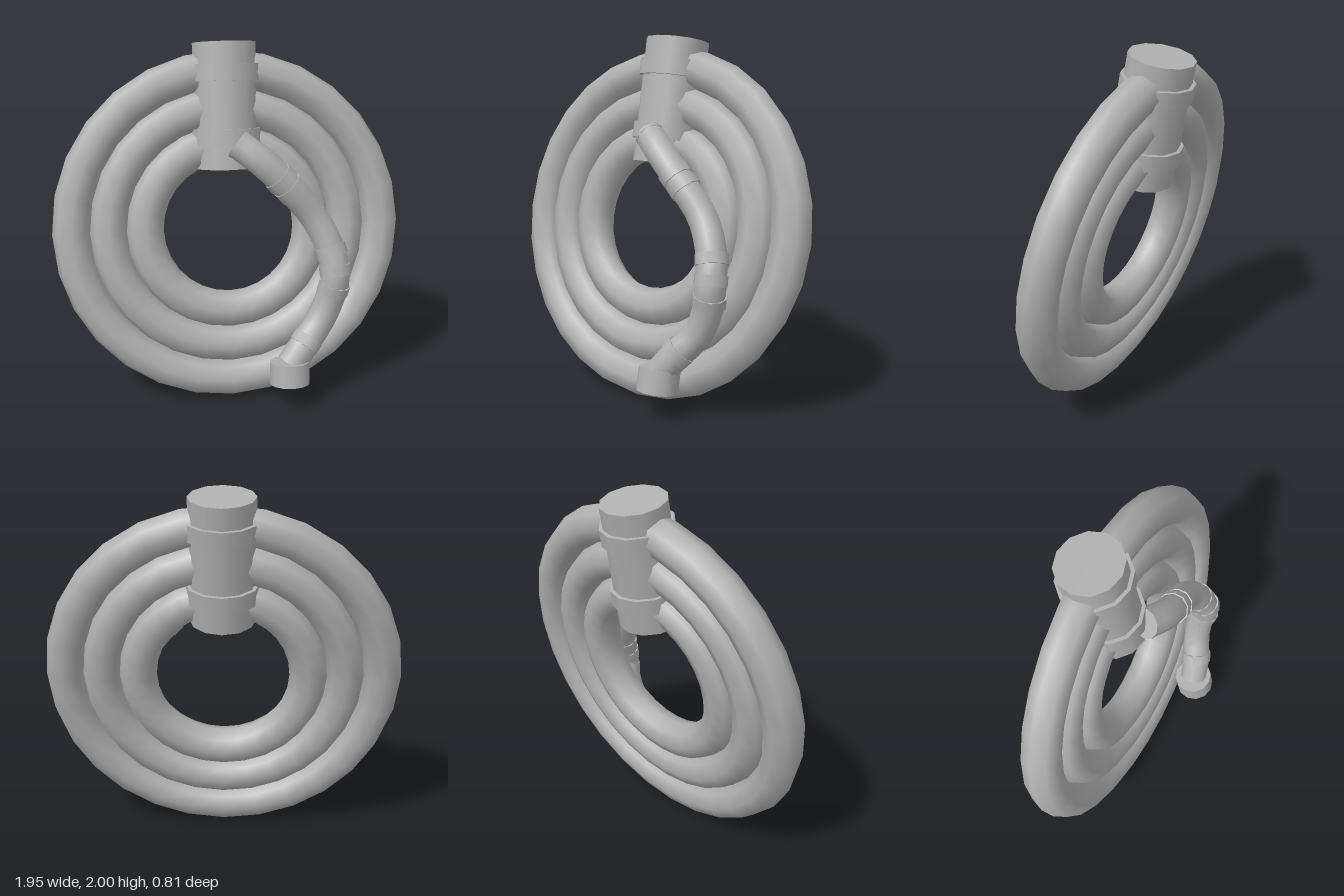
import * as THREE from 'three';

export function createModel() {
  const model = new THREE.Group();
  const grey = new THREE.MeshStandardMaterial({ color: 0xb0b0b0 });
  grey.name = 'plain grey';

  const add = (parent, name, geometry) => {
    const mesh = new THREE.Mesh(geometry, grey);
    mesh.name = name;
    parent.add(mesh);
    return mesh;
  };

  // Coil and binding lean back together
  const lean = THREE.MathUtils.degToRad(-10);
  const coil = new THREE.Group();
  coil.name = 'coil';
  coil.position.set(0, 0.966, -0.05);
  coil.rotation.x = lean;
  model.add(coil);

  // Three concentric loops
  [0.47, 0.67, 0.872].forEach((radius, i) =>
    add(coil, `loop${i + 1}`, new THREE.TorusGeometry(radius, 0.105, 8, 28)));

  // Binding cylinder across the loops, with two bands
  add(coil, 'binding', new THREE.CylinderGeometry(0.176, 0.176, 0.685, 12)).position.y = 0.676;
  [0.856, 0.506].forEach((y, i) =>
    add(coil, `bindingBand${i + 1}`, new THREE.CylinderGeometry(0.196, 0.196, 0.09, 12)).position.y = y);

  // Loose end hanging across the front
  const tail = new THREE.Group();
  tail.name = 'tail';
  model.add(tail);
  const path = new THREE.CatmullRomCurve3([
    [0.035, 1.465, 0.05], [0.15, 1.38, 0.1], [0.3, 1.235, 0.115],
    [0.435, 1.075, 0.11], [0.525, 0.91, 0.15], [0.56, 0.735, 0.2],
    [0.535, 0.6, 0.19], [0.475, 0.465, 0.2], [0.385, 0.36, 0.25],
    [0.3, 0.25, 0.28],
  ].map((p) => new THREE.Vector3(...p)));
  add(tail, 'tailRope', new THREE.TubeGeometry(path, 20, 0.082, 10));

  const up = new THREE.Vector3(0, 1, 0);
  // Cylinder centred on the path and aligned with it
  const collar = (name, t, radius, height) => {
    const mesh = add(tail, name, new THREE.CylinderGeometry(radius, radius, height, 10));
    mesh.position.copy(path.getPointAt(t));
    mesh.quaternion.setFromUnitVectors(up, path.getTangentAt(t));
  };
  collar('tailStart', 0.005, 0.084, 0.02);
  [0.2, 0.25, 0.53, 0.6, 0.67, 0.9].forEach((t, i) => collar(`tailCollar${i + 1}`, t, 0.088, 0.06));

  // Cap on the lower end
  const cap = add(tail, 'tailCap', new THREE.CylinderGeometry(0.112, 0.112, 0.125, 12));
  cap.position.set(0.293, 0.208, 0.288);
  cap.rotation.x = lean;

  return model;
}
